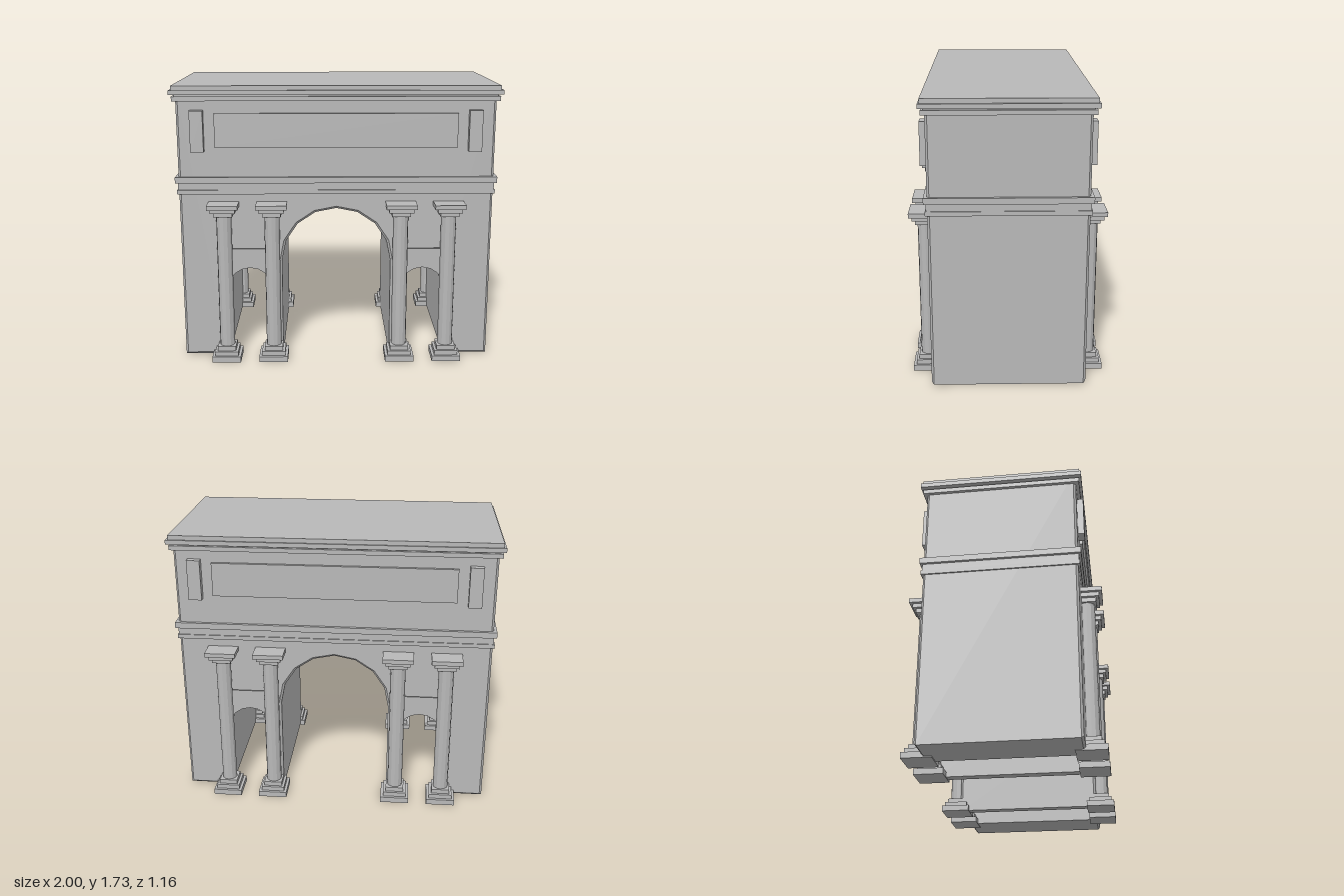
import * as THREE from 'three';

const stone = new THREE.MeshStandardMaterial({ color: 0xb8b8b8, flatShading: true });
stone.name = 'stone';

// points along a semicircle, from angle 0 to PI
function arc(cx, cy, r, segments) {
  const pts = [];
  for (let i = 0; i <= segments; i++) {
    const a = (Math.PI * i) / segments;
    pts.push(new THREE.Vector2(cx + r * Math.cos(a), cy + r * Math.sin(a)));
  }
  return pts;
}

function addMesh(parent, name, geometry, x = 0, y = 0, z = 0) {
  const mesh = new THREE.Mesh(geometry, stone);
  mesh.name = name;
  mesh.position.set(x, y, z);
  parent.add(mesh);
  return mesh;
}

// box placed by its bottom and top heights
function slab(parent, name, halfX, bottom, top, halfZ, x = 0, z = 0) {
  return addMesh(parent, name, new THREE.BoxGeometry(halfX * 2, top - bottom, halfZ * 2),
    x, (bottom + top) / 2, z);
}

// main mass with one large arch and two side passages, all edges chamfered
function body() {
  const v = (x, y) => new THREE.Vector2(x, y);
  const low = 0.006, bevel = 0.014, halfZ = 0.457;
  const outline = [
    v(-0.966, low), v(-0.685, low), v(-0.685, 0.7), v(-0.4, 0.7), v(-0.4, low), v(-0.34, low),
    ...arc(0, 0.63, 0.34, 8).reverse(),
    v(0.34, low), v(0.4, low), v(0.4, 0.7), v(0.685, 0.7), v(0.685, low), v(0.966, low),
    v(0.966, 1.7), v(-0.966, 1.7),
  ];
  const geometry = new THREE.ExtrudeGeometry(new THREE.Shape(outline), {
    depth: 2 * (halfZ - bevel), bevelEnabled: true, bevelSegments: 1,
    bevelThickness: bevel, bevelSize: bevel, bevelOffset: -bevel,
  });
  return geometry.translate(0, 0, bevel - halfZ);
}

// slightly recessed arched filling at the head of a side passage
function sideArch() {
  const shape = new THREE.Shape([
    new THREE.Vector2(0.15, 0.445), new THREE.Vector2(0.15, 0.72),
    new THREE.Vector2(-0.15, 0.72), new THREE.Vector2(-0.15, 0.445),
    ...arc(0, 0.445, 0.14, 8).reverse(),
  ]);
  return new THREE.ExtrudeGeometry(shape, { depth: 0.9, bevelEnabled: false }).translate(0, 0, -0.45);
}

function column(x, z) {
  const group = new THREE.Group();
  group.name = 'column';
  group.position.set(x, 0, z);
  // [half width, bottom, top]
  const base = [[0.09, 0, 0.036], [0.073, 0.036, 0.064], [0.057, 0.064, 0.092]];
  const capital = [[0.057, 0.936, 0.963], [0.075, 0.963, 0.989], [0.094, 0.989, 1.016]];
  base.forEach(([h, b, t]) => slab(group, 'columnBase', h, b, t, h));
  capital.forEach(([h, b, t]) => slab(group, 'columnCapital', h, b, t, h));
  addMesh(group, 'columnShaft', new THREE.CylinderGeometry(0.047, 0.047, 0.85, 12), 0, 0.514, 0);
  return group;
}

export function createModel() {
  const model = new THREE.Group();
  model.name = 'triumphalArch';

  addMesh(model, 'body', body());
  for (const side of [-1, 1]) addMesh(model, 'sideArch', sideArch(), side * 0.5425);

  // cornice bands: [half x, bottom, top, half z]
  const bands = [
    [0.975, 1.064, 1.09, 0.468],
    [0.969, 1.09, 1.134, 0.462],
    [0.985, 1.134, 1.171, 0.476],
    [0.985, 1.636, 1.663, 0.478],
    [0.97, 1.663, 1.674, 0.462],
    [1.0, 1.674, 1.701, 0.492],
    [0.985, 1.701, 1.728, 0.482],
  ];
  bands.forEach(([x, b, t, z]) => slab(model, 'corniceBand', x, b, t, z));

  // columns and attic panels, the same on front and back
  for (const face of [-1, 1]) {
    for (const x of [-0.693, -0.397, 0.397, 0.693]) model.add(column(x, face * 0.487));
    slab(model, 'widePanel', 0.736, 1.353, 1.561, 0.012, 0, face * 0.464);
    for (const side of [-1, 1]) {
      slab(model, 'narrowPanel', 0.04, 1.33, 1.58, 0.025, side * 0.841, face * 0.47);
    }
  }
  return model;
}
